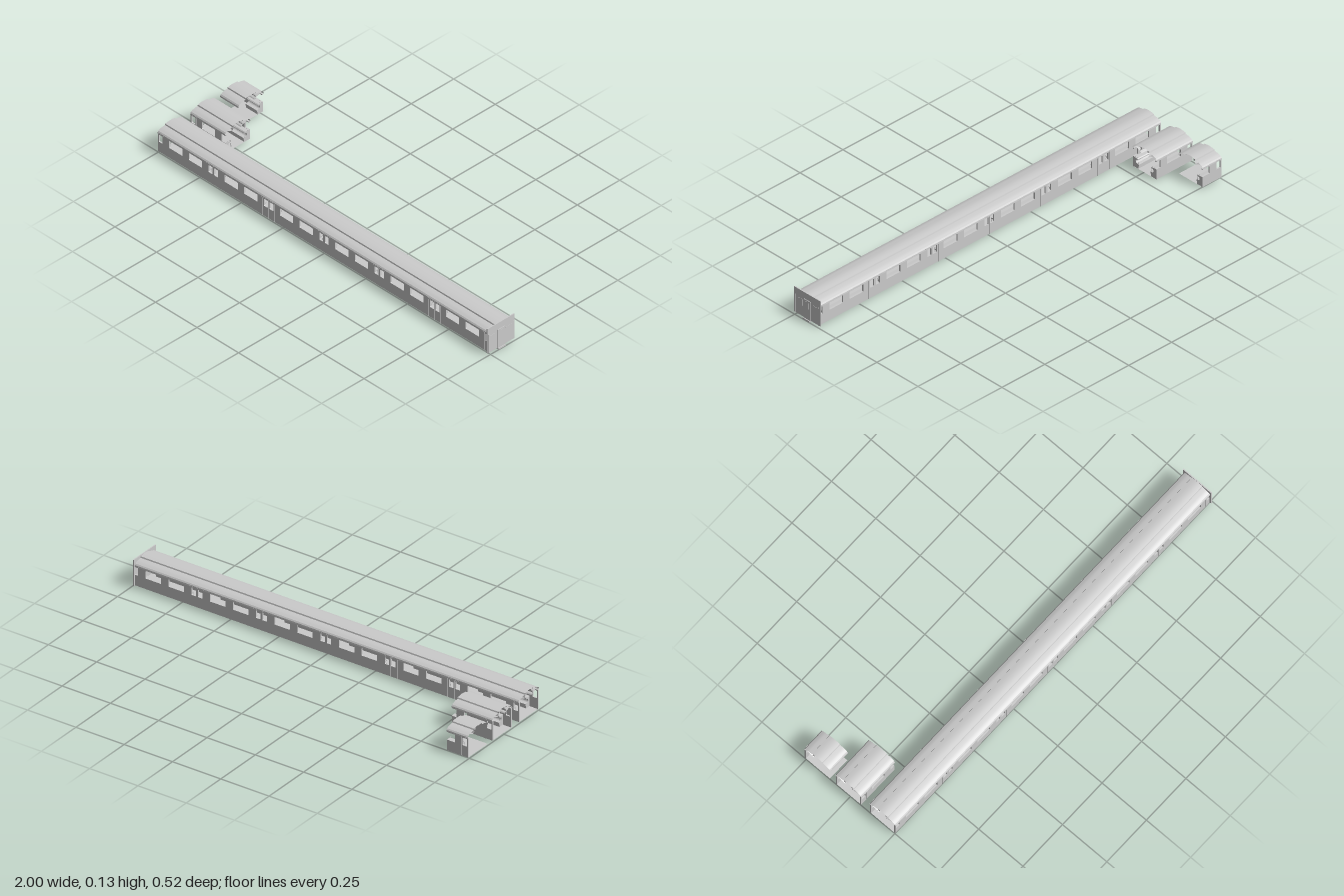
import * as THREE from 'three';
import { toCreasedNormals } from 'three/addons/utils/BufferGeometryUtils.js';

const mat = new THREE.MeshStandardMaterial({ color: 0xcccccc, side: THREE.DoubleSide });
const HALF = 0.0715, THICK = 0.007, FLOOR = 0.008, EAVE = 0.101;
const SILL = 0.059, HEAD = 0.096;

function add(parent, name, geo, x = 0, y = 0, z = 0) {
  const m = new THREE.Mesh(geo, mat);
  m.name = name;
  m.position.set(x, y, z);
  parent.add(m);
  return m;
}

function box(parent, name, x0, x1, y0, y1, z0, z1) {
  return add(parent, name, new THREE.BoxGeometry(x1 - x0, y1 - y0, Math.abs(z1 - z0)),
    (x0 + x1) / 2, (y0 + y1) / 2, (z0 + z1) / 2);
}

function roundRect(x0, y0, x1, y1, r, P = THREE.Path) {
  const p = new P();
  p.moveTo(x0 + r, y0);
  p.lineTo(x1 - r, y0).absarc(x1 - r, y0 + r, r, -Math.PI / 2, 0);
  p.absarc(x1 - r, y1 - r, r, 0, Math.PI / 2);
  p.absarc(x0 + r, y1 - r, r, Math.PI / 2, Math.PI);
  p.absarc(x0 + r, y0 + r, r, Math.PI, Math.PI * 1.5);
  return p;
}

// Open sheet: a [z, y] profile swept along x
function sheet(profile, x0, x1) {
  const v = [];
  for (let i = 0; i < profile.length - 1; i++) {
    const [az, ay] = profile[i], [bz, by] = profile[i + 1];
    v.push(x0, ay, az, x1, by, bz, x1, ay, az, x0, ay, az, x0, by, bz, x1, by, bz);
  }
  const g = new THREE.BufferGeometry();
  g.setAttribute('position', new THREE.Float32BufferAttribute(v, 3));
  g.computeVertexNormals();
  return toCreasedNormals(g, 0.4);
}

// Solid cross-section in (z, y) extruded along x
function prism(shape, x0, x1) {
  const g = new THREE.ExtrudeGeometry(shape, { depth: x1 - x0, bevelEnabled: false, curveSegments: 6 });
  return g.rotateY(-Math.PI / 2).translate(x1, 0, 0);
}

// All window openings of one side, as [start, end] along x
function windowSpans() {
  const spans = [];
  for (let k = -3; k <= 3; k++) {
    for (const s of [-1, 1]) {
      const c = k / 3 + s * 0.0165;
      if (Math.abs(c) < 1) spans.push([c - 0.0115, c + 0.0115]);
    }
    if (k < 3) for (const s of [-1, 1]) {
      const c = (k + 0.5) / 3 + s * 0.059;
      spans.push([c - 0.04, c + 0.04]);
    }
  }
  return spans;
}

// Side wall with window holes; a window cut by the end becomes a notch
function sideWall(parent, x0, x1, side) {
  const spans = windowSpans();
  const cut = spans.find(([a, b]) => a < x1 && b >= x1);
  const s = new THREE.Shape();
  s.moveTo(x0, FLOOR);
  s.lineTo(x1, FLOOR);
  if (cut) {
    s.lineTo(x1, SILL);
    s.lineTo(cut[0], SILL);
    s.lineTo(cut[0], HEAD);
    s.lineTo(x1, HEAD);
  }
  s.lineTo(x1, EAVE);
  s.lineTo(x0, EAVE);
  s.closePath();
  for (const [a, b] of spans) if (a > x0 && b < x1) s.holes.push(roundRect(a, SILL, b, HEAD, 0.003));
  const g = new THREE.ExtrudeGeometry(s, { depth: THICK, bevelEnabled: false, curveSegments: 3 });
  add(parent, 'sideWall', g, 0, 0, side > 0 ? HALF - THICK : -HALF);
}

// Door seams, pillars and drip rail on the outside of a wall
function doorTrim(parent, x0, x1, side) {
  const za = side * HALF, zb = side * (HALF + 0.001);
  for (let k = -3; k <= 3; k++) {
    const c = k / 3;
    for (const d of [-0.036, 0, 0.036]) {
      const x = c + d;
      if (x - 0.001 > x0 && x + 0.001 < x1) box(parent, 'doorSeam', x - 0.001, x + 0.001, FLOOR, EAVE, za, zb);
    }
    const a = Math.max(x0, c - 0.04), b = Math.min(x1, c + 0.04);
    if (b > a) box(parent, 'doorDripRail', a, b, 0.102, 0.104, za, side * (HALF + 0.003));
  }
}

// Bench with a scooped seat, profile measured inwards from the wall
function bench(parent, x0, x1, side) {
  const at = d => side * (HALF - d);
  const s = new THREE.Shape();
  s.moveTo(at(0.003), 0.009);
  for (const [d, y] of [[0.033, 0.009], [0.033, 0.022], [0.037, 0.022], [0.037, 0.031], [0.030, 0.032]]) s.lineTo(at(d), y);
  for (let i = 0; i <= 8; i++) {
    const a = -1.3 - i / 8 * (2 * Math.PI - 2.6);
    s.lineTo(at(0.0265 + 0.0095 * Math.cos(a)), 0.0415 + 0.0095 * Math.sin(a));
  }
  for (const [d, y] of [[0.030, 0.053], [0.026, 0.057], [0.010, 0.0585], [0.003, 0.0585]]) s.lineTo(at(d), y);
  add(parent, 'bench', prism(s, x0, x1));
  // Arm rail at each end
  const curve = new THREE.CatmullRomCurve3([[0.005, 0.058], [0.016, 0.061], [0.028, 0.061], [0.032, 0.055], [0.032, 0.031]]
    .map(([d, y]) => new THREE.Vector3(0, y, at(d))));
  for (const x of [x0 + 0.001, x1 - 0.001]) add(parent, 'armRail', new THREE.TubeGeometry(curve, 12, 0.0006, 5), x);
}

// Ceiling beam and the angled panel with its hanger
function ceilingFittings(parent, x0, x1, side) {
  box(parent, 'ceilingBeam', x0, x1, 0.119, 0.128, side * 0.016, side * 0.025);
  add(parent, 'ceilingPanel', sheet([[0.053, 0.113], [0.030, 0.105], [0.022, 0.101], [0.019, 0.097]].map(([z, y]) => [side * z, y]), x0, x1));
  add(parent, 'panelHanger', sheet([[side * 0.025, 0.116], [side * 0.029, 0.105]], x0, x1));
}

// Roof with a raised middle section
function roof(parent, x0, x1) {
  const half = [[0.0745, 0.1], [0.0735, 0.107], [0.069, 0.1125], [0.061, 0.1165], [0.048, 0.120], [0.031, 0.1225], [0.029, 0.1285], [0.015, 0.131]];
  const profile = [...half.map(([z, y]) => [-z, y]), [0, 0.132], ...half.reverse()];
  add(parent, 'roof', sheet(profile, x0, x1));
}

function carSection(name, x0, x1, z, sides) {
  const g = new THREE.Group();
  g.name = name;
  g.position.z = z;
  roof(g, x0, x1);
  add(g, 'floor', sheet([[-HALF, FLOOR], [HALF, FLOOR]], x0, x1));
  for (const side of sides) {
    sideWall(g, x0, x1, side);
    doorTrim(g, x0, x1, side);
    ceilingFittings(g, x0, x1, side);
    for (let k = -3; k < 3; k++) {
      const a = k / 3 + 0.042, b = Math.min(x1, (k + 1) / 3 - 0.042);
      if (b > a) bench(g, a, b, side);
    }
  }
  return g;
}

// Closed end: square bulkhead, corner posts, windows, door and sill
function endWall(parent) {
  box(parent, 'endBulkhead', 0.988, 0.993, 0.007, 0.134, -0.0795, 0.0795);
  for (const s of [-1, 1]) {
    box(parent, 'cornerPost', 0.992, 0.995, 0.007, 0.101, s * 0.0695, s * 0.0725);
    const pane = roundRect(s * 0.0475 - 0.021, 0.058, s * 0.0475 + 0.021, 0.092, 0.004, THREE.Shape);
    add(parent, 'endWindow', prism(pane, 0.9925, 0.994));
  }
  add(parent, 'endDoor', prism(roundRect(-0.021, 0.004, 0.021, 0.102, 0.003, THREE.Shape), 0.992, 0.996));
  add(parent, 'endDoorWindow', prism(roundRect(-0.0125, 0.058, 0.0125, 0.094, 0.004, THREE.Shape), 0.995, 0.9968));
  add(parent, 'endDoorSill', prism(roundRect(-0.021, 0, 0.021, 0.007, 0.002, THREE.Shape), 0.988, 1));
}

export function createModel() {
  const model = new THREE.Group();
  model.name = 'railCarSections';
  const car = carSection('fullCar', -1, 0.99, 0.181, [-1, 1]);
  endWall(car);
  model.add(car);
  model.add(carSection('shortSection', -1, -0.79, -0.0115, [-1, 1]));
  model.add(carSection('halfSection', -1, -0.89, -0.1875, [-1]));
  return model;
}
